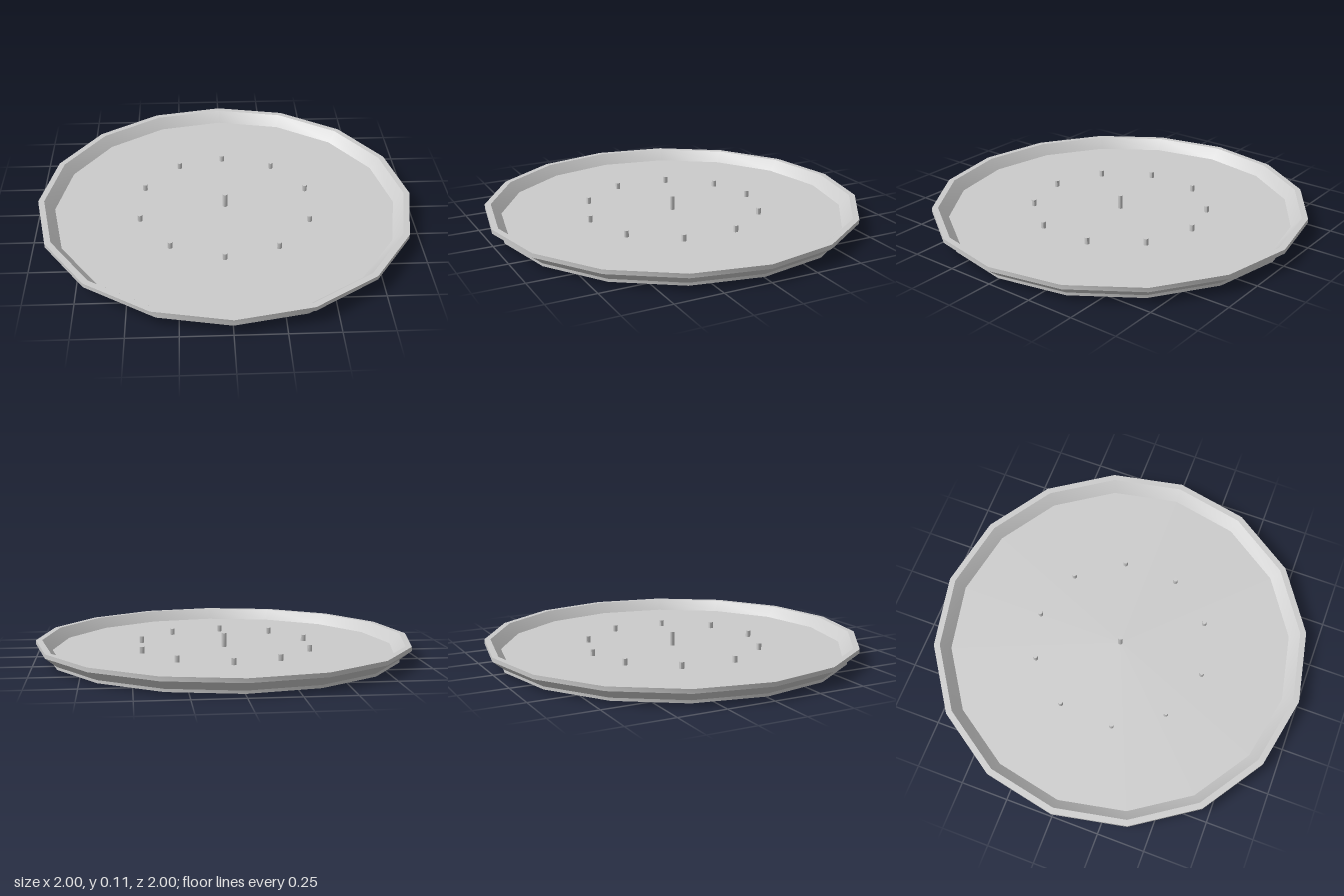
import * as THREE from 'three';
import { toCreasedNormals } from 'three/addons/utils/BufferGeometryUtils.js';

const material = new THREE.MeshStandardMaterial({ color: 0xcccccc });

function peg(name, x, z, bottom, top) {
  const mesh = new THREE.Mesh(
    toCreasedNormals(new THREE.CylinderGeometry(0.013, 0.013, top - bottom, 8), 0.9), material);
  mesh.position.set(x, (bottom + top) / 2, z);
  mesh.name = name;
  return mesh;
}

export function createModel() {
  const group = new THREE.Group();
  group.name = 'roundTray';

  // Sixteen-sided tray: underside, foot ring, flared wall, flat rim, floor
  const profile = [
    [0, 0.02], [0.87, 0.02], [0.905, 0.005], [0.94, 0.005], [0.94, 0.02],
    [1, 0.068], [1, 0.09], [0.968, 0.09], [0.915, 0.035], [0, 0.035],
  ].map(([r, y]) => new THREE.Vector2(r, y));
  const tray = new THREE.Mesh(
    toCreasedNormals(new THREE.LatheGeometry(profile, 16), 0.45), material);
  tray.name = 'tray';
  group.add(tray);

  // Tall pin in the middle
  group.add(peg('centerPin', 0, 0, 0.012, 0.11));

  // Slightly uneven ring of short pegs passing through the floor
  const spots = [
    [0, -0.465], [0.275, -0.375], [0.445, -0.135], [0.44, 0.16], [0.26, 0.39],
    [-0.02, 0.47], [-0.295, 0.365], [-0.455, 0.12], [-0.435, -0.175], [-0.245, -0.395],
  ];
  spots.forEach(([x, z], i) => group.add(peg(`ringPeg${i + 1}`, x, z, 0, 0.07)));

  return group;
}
